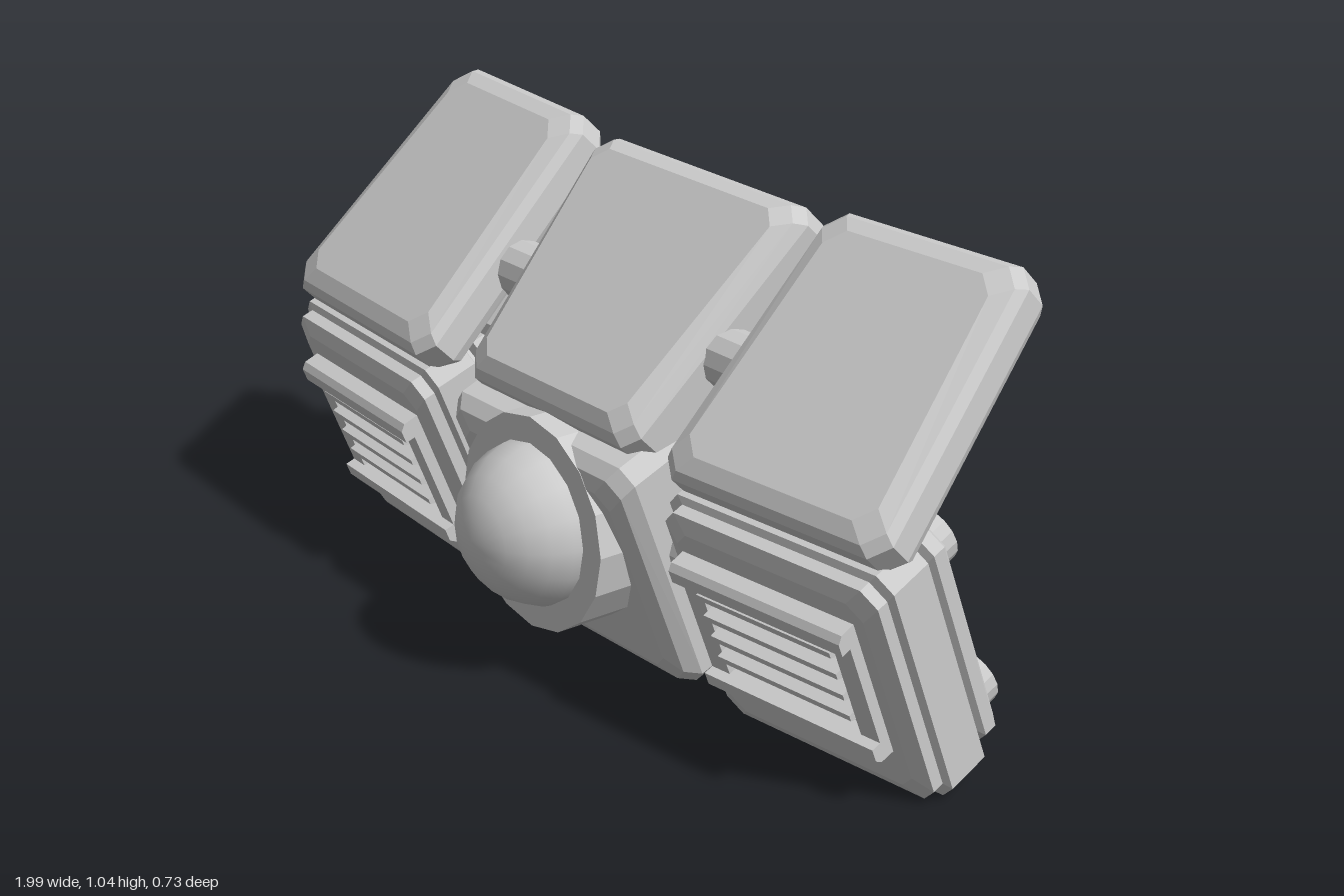
import * as THREE from 'three';

const gray = new THREE.MeshStandardMaterial({ color: 0xcccccc, flatShading: true });
gray.name = 'plain gray';
const graySmooth = gray.clone();
graySmooth.name = 'plain gray smooth';
graySmooth.flatShading = false;

function add(parent, name, geometry, material = gray) {
  const mesh = new THREE.Mesh(geometry, material);
  mesh.name = name;
  parent.add(mesh);
  return mesh;
}

// Chamfered trapezoid slab: half widths w0 (bottom) and w1 (top), from v0 to v1,
// lofted through sections [depth, inset] ordered back to front.
function slab(w0, w1, v0, v1, corner, sections) {
  const outline = (z, i) => {
    const a = w0 - i, b = w1 - i, lo = v0 + i, hi = v1 - i, c = corner;
    return [
      [a - c, lo], [a, lo + c], [b, hi - c], [b - c, hi],
      [c - b, hi], [-b, hi - c], [-a, lo + c], [c - a, lo],
    ].map(([x, y]) => [x, y, z]);
  };
  const rings = sections.map(([z, i]) => outline(z, i));
  const pos = [];
  const tri = (p, q, r) => pos.push(...p, ...q, ...r);
  for (let k = 0; k + 1 < rings.length; k++) {
    for (let i = 0; i < 8; i++) {
      const j = (i + 1) % 8, A = rings[k], B = rings[k + 1];
      tri(A[i], A[j], B[j]);
      tri(A[i], B[j], B[i]);
    }
  }
  const back = rings[0], front = rings[rings.length - 1];
  for (let i = 1; i < 7; i++) {
    tri(front[0], front[i], front[i + 1]);
    tri(back[0], back[i + 1], back[i]);
  }
  const g = new THREE.BufferGeometry();
  g.setAttribute('position', new THREE.Float32BufferAttribute(pos, 3));
  g.computeVertexNormals();
  return g;
}

// Prism with its profile in (z, y), centred on x
function prismX(points, width) {
  const shape = new THREE.Shape(points.map(([z, y]) => new THREE.Vector2(-z, y)));
  const g = new THREE.ExtrudeGeometry(shape, { depth: width, bevelEnabled: false });
  return g.translate(0, 0, -width / 2).rotateY(Math.PI / 2);
}

function tilted(root, name, x, y, tilt, yaw) {
  const g = new THREE.Group();
  g.name = name;
  g.position.set(x, y, 0);
  g.rotation.set(tilt, yaw, 0, 'YXZ');
  root.add(g);
  return g;
}

const LOWER = 0.384, UPPER = -Math.PI / 4, YAW = 0.087;

function lowerSide(root, s) {
  const g = tilted(root, s > 0 ? 'leftLowerUnit' : 'rightLowerUnit', s * 0.685, 0.3, LOWER, s * YAW);
  add(g, 'lowerSideCase', slab(0.3, 0.3, -0.3, 0.285, 0.035, [
    [-0.13, 0.035], [-0.115, 0.02], [-0.085, 0.02], [-0.075, 0.035], [-0.065, 0.03],
    [-0.05, 0], [0.05, 0], [0.058, 0.015], [0.085, 0.015], [0.1, 0.05],
  ]));
  // Vent frame and its slats
  const vent = new THREE.Group();
  vent.name = 'vent';
  vent.position.set(s * -0.01, 0.015, 0);
  g.add(vent);
  for (const e of [-1, 1]) {
    add(vent, 'ventEndBar', prismX([[0.08, e * 0.17], [0.135, e * 0.168], [0.148, e * 0.155], [0.148, e * 0.125], [0.08, e * 0.125]], 0.46));
    add(vent, 'ventSideBar', new THREE.BoxGeometry(0.05, 0.26, 0.045)).position.set(e * 0.205, 0, 0.1025);
  }
  for (let i = 0; i < 4; i++) {
    const y = 0.084 - i * 0.056;
    add(vent, 'ventSlat', prismX([[0.09, y + 0.026], [0.138, y + 0.02], [0.138, y + 0.006], [0.09, y - 0.016]], 0.36));
  }
  // Rear bosses and wedge rib
  for (const v of [-0.19, 0.19]) {
    const boss = add(g, 'rearBoss', new THREE.CylinderGeometry(0.065, 0.065, 0.05, 16));
    boss.rotation.x = Math.PI / 2;
    boss.position.set(s * 0.19, v, -0.145);
  }
  const rib = new THREE.Shape([[-0.3, 0.1], [-0.3, 0.15], [0.06, 0.225], [0.09, 0.205], [0.09, 0.1]]
    .map(([x, y]) => new THREE.Vector2(s * x, y)));
  const ribGeo = new THREE.ExtrudeGeometry(rib, { depth: 0.1, bevelEnabled: true, bevelThickness: 0.015, bevelSize: 0.012, bevelSegments: 1 });
  add(g, 'rearRib', ribGeo.rotateX(-Math.PI / 2)).position.y = -0.145;
}

function upperSide(root, s) {
  const g = tilted(root, s > 0 ? 'leftUpperUnit' : 'rightUpperUnit', s * 0.683, 0, UPPER, s * YAW);
  add(g, 'upperSideCase', slab(0.3, 0.265, 0.29, 0.935, 0.04, [
    [0.425, 0.05], [0.45, 0.012], [0.475, 0], [0.535, 0], [0.555, 0.015], [0.57, 0.05],
  ]));
}

export function createModel() {
  const root = new THREE.Group();
  root.name = 'model';

  for (const s of [-1, 1]) {
    lowerSide(root, s);
    upperSide(root, s);
  }

  // Lower centre: front case and wide rear box
  const lower = tilted(root, 'lowerCentre', 0, 0.3, LOWER, 0);
  add(lower, 'lowerCentreCase', slab(0.29, 0.305, -0.285, 0.305, 0.035, [
    [-0.06, 0], [0.085, 0], [0.115, 0.02], [0.13, 0.055],
  ]));
  add(lower, 'rearBox', slab(0.39, 0.39, -0.31, 0.25, 0.03, [
    [-0.21, 0.025], [-0.185, 0], [-0.06, 0], [-0.03, 0.02],
  ]));

  // Upper centre: front case and broad rear panel
  const upper = tilted(root, 'upperCentre', 0, 0, UPPER, 0);
  add(upper, 'upperCentreCase', slab(0.285, 0.34, 0.29, 0.905, 0.035, [
    [0.42, 0.03], [0.45, 0], [0.535, 0], [0.56, 0.015], [0.58, 0.045],
  ]));
  add(upper, 'rearPanel', slab(0.82, 0.82, 0.4, 0.9, 0.06, [
    [0.33, 0.09], [0.345, 0.055], [0.385, 0], [0.41, 0], [0.44, 0.03],
  ]));

  // Bracket joining the rear panel to the rear box
  add(root, 'rearBracket', prismX([
    [-0.235, 0.74], [-0.228, 0.64], [-0.218, 0.605], [-0.19, 0.575],
    [-0.175, 0.45], [-0.07, 0.45], [-0.05, 0.57],
  ], 0.74));

  // Pegs bridging the gaps between centre and sides
  for (const [y, z, r] of [[0.74, -0.06, 0.065], [0.34, 0.03, 0.055]]) {
    const peg = add(root, 'connectingPeg', new THREE.CylinderGeometry(r, r, 0.84, 12));
    peg.rotation.z = Math.PI / 2;
    peg.position.set(0, y, z);
  }

  // Collar and dome
  const collar = add(root, 'domeCollar', new THREE.CylinderGeometry(0.238, 0.238, 0.2, 16));
  collar.rotation.x = Math.PI / 2;
  collar.position.set(0, 0.345, 0.115);
  const dome = add(root, 'dome', new THREE.SphereGeometry(0.183, 16, 12), graySmooth);
  dome.rotation.x = Math.PI / 2;
  dome.position.set(0, 0.345, 0.187);

  return root;
}
